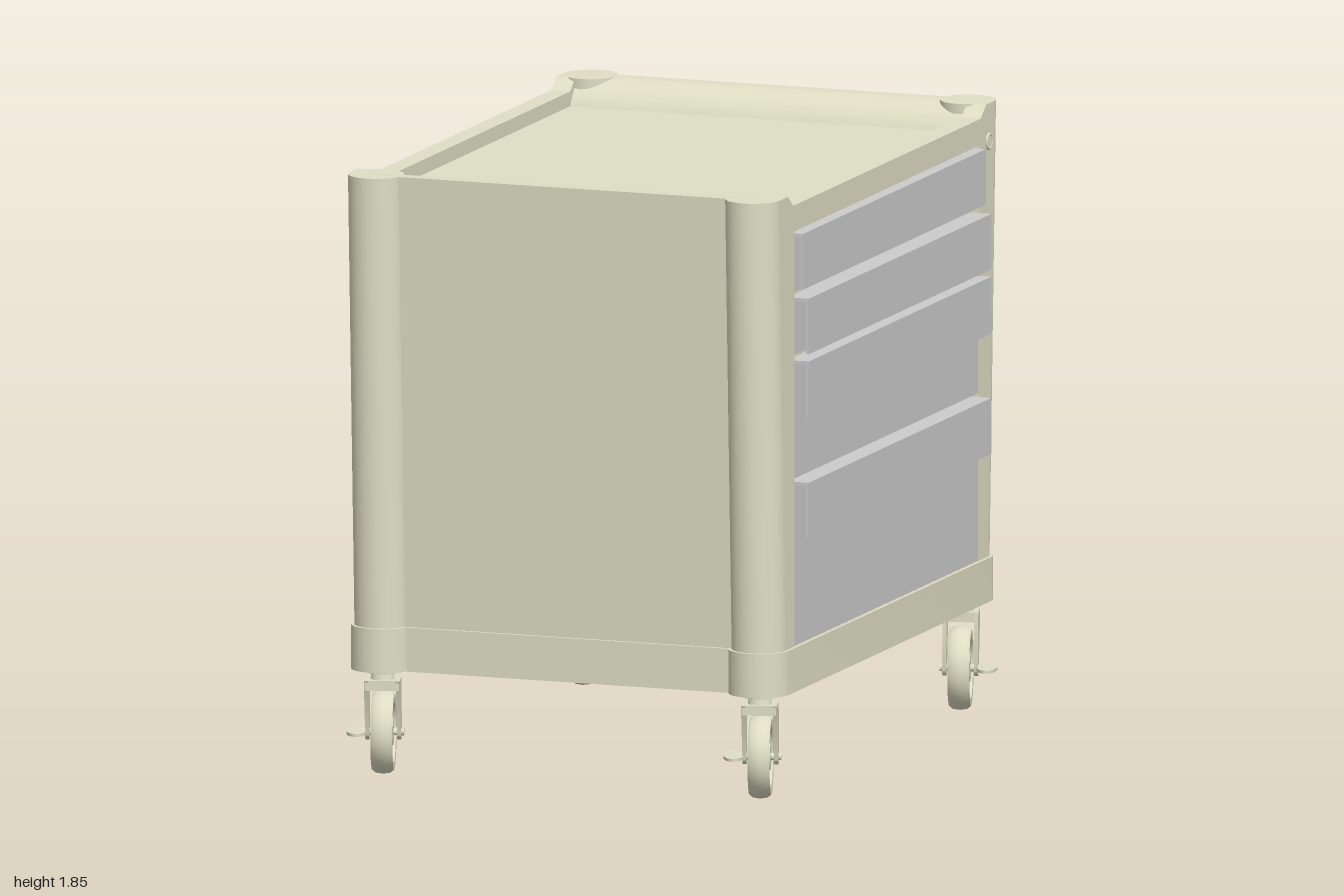
import * as THREE from 'three';
import { toCreasedNormals } from 'three/addons/utils/BufferGeometryUtils.js';

const cream = new THREE.MeshStandardMaterial({ color: 0xdfdec4 });
const grey = new THREE.MeshStandardMaterial({ color: 0xcccccc });

const PX = 0.607, PR = 0.085;          // corner post offset and radius
const Y0 = 0.465, Y1 = 1.85;           // body bottom and top
const Z0 = 0.86, Z1 = 0.915;           // post centre at bottom and top (flared)

function add(parent, name, geo, mat, x = 0, y = 0, z = 0) {
  const m = new THREE.Mesh(geo, mat);
  m.name = name;
  m.position.set(x, y, z);
  parent.add(m);
  return m;
}

const box = (w, h, d) => new THREE.BoxGeometry(w, h, d);
const poly = (pts) => new THREE.Shape(pts.map(([a, b]) => new THREE.Vector2(a, b)));
const rect = (a0, b0, a1, b1) => poly([[a0, b0], [a1, b0], [a1, b1], [a0, b1]]);

// Extrude a (z, y) profile along x, centred on x = 0
function sideExtrude(shape, depth) {
  const g = new THREE.ExtrudeGeometry(shape, { depth, bevelEnabled: false, curveSegments: 12 });
  g.translate(0, 0, -depth / 2);
  g.rotateY(-Math.PI / 2);
  return toCreasedNormals(g, 0.5);
}

// Base ring: rectangle with round corner bulges, open in the middle
function baseRing() {
  const r = PR + 0.01, zc = Z0, ze = 0.895;
  const a = Math.asin((ze - zc) / r);
  const s = new THREE.Shape();
  s.absarc(PX, zc, r, 0, Math.PI - a, false);
  s.absarc(-PX, zc, r, a, Math.PI, false);
  s.absarc(-PX, -zc, r, Math.PI, 2 * Math.PI - a, false);
  s.absarc(PX, -zc, r, Math.PI + a, 2 * Math.PI, false);
  s.holes.push(rect(-0.555, -0.795, 0.555, 0.795));
  const g = new THREE.ExtrudeGeometry(s, { depth: Y0 - 0.33, bevelEnabled: false, curveSegments: 20 });
  g.rotateX(-Math.PI / 2);
  g.translate(0, 0.33, 0);
  return toCreasedNormals(g, 0.5);
}

// Corner post, leaning outward in z towards the top
function post(sz) {
  const g = new THREE.CylinderGeometry(PR, PR, Y1 - Y0, 36);
  g.translate(0, (Y0 + Y1) / 2, 0);
  const p = g.attributes.position;
  for (let i = 0; i < p.count; i++) {
    const t = (p.getY(i) - Y0) / (Y1 - Y0);
    p.setZ(i, p.getZ(i) + sz * (Z0 + t * (Z1 - Z0)));
  }
  return g;
}

// End wall whose top curls down to the worktop
function endWall(sz) {
  const s = new THREE.Shape();
  s.moveTo(sz * 0.78, Y0);
  s.lineTo(sz * 0.885, Y0);
  s.lineTo(sz * 0.94, Y1);
  s.lineTo(sz * 0.9, Y1);
  s.quadraticCurveTo(sz * 0.825, 1.84, sz * 0.795, 1.77);
  s.lineTo(sz * 0.78, 1.77);
  return sideExtrude(s, 2 * PX + 0.04);
}

// Side frame with a large rectangular opening
function sideFrame() {
  const s = poly([[-Z0, Y0], [Z0, Y0], [Z1, Y1], [0.845, Y1], [0.8, 1.815],
    [-0.8, 1.815], [-0.845, Y1], [-Z1, Y1]]);
  s.holes.push(rect(-0.79, Y0 + 0.001, 0.79, 1.735));
  return sideExtrude(s, 0.062);
}

// Swivel caster with brake pedal; the wheel trails towards -z
function caster() {
  const g = new THREE.Group();
  g.name = 'caster';
  const az = -0.042, ay = 0.128;
  add(g, 'casterMount', new THREE.CylinderGeometry(0.045, 0.045, 0.015, 24), cream, 0, 0.324, 0);
  add(g, 'casterSwivel', new THREE.CylinderGeometry(0.032, 0.038, 0.03, 24), cream, 0, 0.305, 0);
  add(g, 'forkCrown', box(0.104, 0.03, 0.095), cream, 0, 0.283, 0);
  // Fork arms
  const arm = new THREE.Shape();
  arm.moveTo(0.05, 0.298);
  arm.lineTo(-0.048, 0.298);
  arm.lineTo(az - 0.024, ay);
  arm.absarc(az, ay, 0.024, Math.PI, 2 * Math.PI, false);
  const armGeo = sideExtrude(arm, 0.012);
  for (const s of [-1, 1]) add(g, 'forkArm', armGeo, cream, s * 0.048, 0, 0);
  // Wheel with rounded tread and recessed hub
  const prof = [[0, -0.03], [0.04, -0.03], [0.043, -0.022], [0.088, -0.022], [0.093, -0.032],
    [0.115, -0.033], [0.124, -0.022], [0.127, 0], [0.124, 0.022], [0.115, 0.033],
    [0.093, 0.032], [0.088, 0.022], [0.043, 0.022], [0.04, 0.03], [0, 0.03]];
  const wheel = new THREE.LatheGeometry(prof.map(([r, y]) => new THREE.Vector2(r, y)), 40);
  wheel.rotateZ(Math.PI / 2);
  add(g, 'wheel', toCreasedNormals(wheel, 0.6), cream, 0, ay, az);
  const axle = new THREE.CylinderGeometry(0.011, 0.011, 0.125, 16);
  axle.rotateZ(Math.PI / 2);
  add(g, 'axle', axle, cream, 0, ay, az);
  // Flat brake pedal beside the wheel
  const pedal = new THREE.CylinderGeometry(1, 1, 0.009, 28);
  pedal.scale(0.032, 1, 0.075);
  add(g, 'brakePedal', pedal, cream, -0.08, ay, az);
  return g;
}

// Drawer front with a folded pull lip
function drawer(y0, y1, lipDrop, reach) {
  const g = new THREE.Group();
  g.name = 'drawer';
  add(g, 'drawerFront', box(0.03, y1 - y0, 1.57), grey, 0.665, (y0 + y1) / 2, 0);
  add(g, 'pullFlange', box(reach - 0.66, 0.01, 1.56), grey, (reach + 0.66) / 2, y1 - 0.005, 0);
  add(g, 'pullLip', box(0.009, lipDrop, 1.56), grey, reach - 0.0045, y1 - lipDrop / 2, 0);
  return g;
}

export function createModel() {
  const root = new THREE.Group();
  root.name = 'drawerCart';
  const body = new THREE.Group();
  body.name = 'cabinet';
  body.position.x = -0.01;
  root.add(body);

  add(body, 'baseRing', baseRing(), cream);
  add(body, 'bottomPanel', box(1.2, 0.012, 1.66), grey, 0, 0.458, 0);
  add(body, 'worktop', box(1.27, 0.02, 1.6), cream, 0, 1.76, 0);

  const frame = sideFrame();
  for (const s of [-1, 1]) {
    add(body, 'endWall', endWall(s), cream);
    add(body, 'sideFrame', frame, cream, s * (PX + PR - 0.031), 0, 0);
    for (const sx of [-1, 1]) add(body, 'cornerPost', post(s), cream, sx * PX, 0, 0);
  }
  // Recessed plain panel on one side, backing panel behind the drawers on the other
  add(body, 'sidePanel', box(0.02, 1.29, 1.6), cream, -0.683, 1.1, 0);
  add(body, 'drawerBacking', box(0.02, 1.29, 1.6), cream, 0.655, 1.1, 0);

  // Drawers, from top to bottom
  const drawers = [[1.55, 1.727, 0.17, 0.706], [1.358, 1.53, 0.17, 0.724],
    [0.978, 1.338, 0.175, 0.724], [0.448, 0.967, 0.172, 0.724]];
  for (const d of drawers) root.add(drawer(...d));

  // Lock above the drawers' rear corner
  const ring = new THREE.TorusGeometry(0.022, 0.005, 8, 28);
  ring.rotateY(Math.PI / 2);
  add(root, 'lockRing', ring, cream, 0.683, 1.735, -0.868);
  const core = new THREE.CylinderGeometry(0.02, 0.02, 0.012, 24);
  core.rotateZ(Math.PI / 2);
  add(root, 'lockCore', core, cream, 0.68, 1.735, -0.868);
  add(root, 'lockKeyway', box(0.006, 0.026, 0.006), cream, 0.686, 1.735, -0.868);

  // Casters, the rear pair turned half round
  for (const sx of [-1, 1]) {
    for (const sz of [-1, 1]) {
      const c = caster();
      c.position.set(sx * PX, 0, sz * 0.86);
      c.rotation.y = 0.3 + (sz < 0 ? Math.PI : 0);
      body.add(c);
    }
  }
  return root;
}
